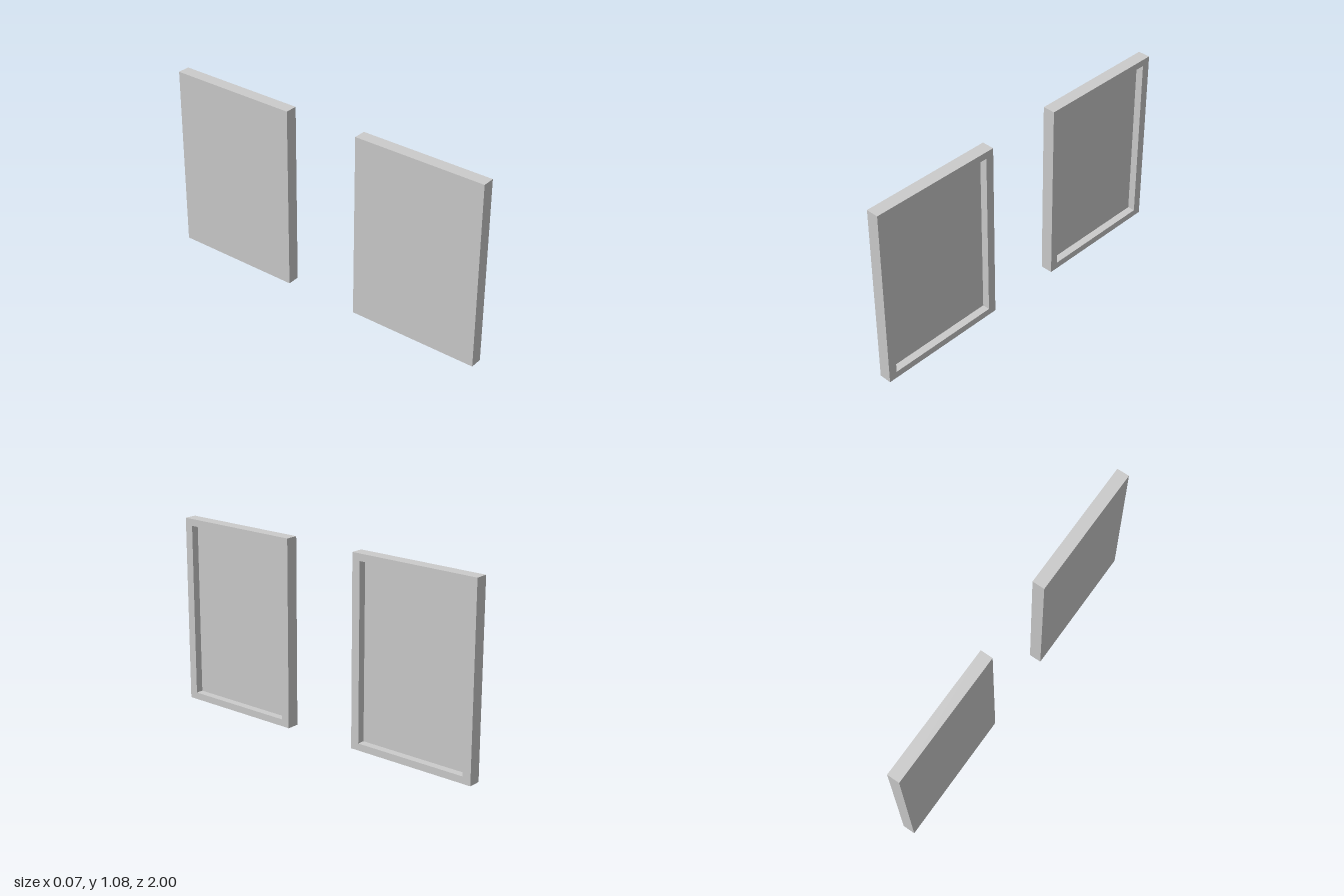
import * as THREE from 'three';

const HEIGHT = 1.08, WIDTH = 0.775, HALF_DEPTH = 0.036, CENTRE_Z = 0.6125;
const RECESS = 0.044, INSET_Z = 0.049, INSET_Y = 0.04;

// Rectangular ring at depth x, counter-clockwise seen from +x
function ring(x, w, h) {
  return [[1, -1], [-1, -1], [-1, 1], [1, 1]].map(([z, y]) => [x, y * h / 2, z * w / 2]);
}

// Solid slab with a recessed face on +x, skinned over successive rings
function trayGeometry() {
  const innerW = WIDTH - 2 * INSET_Z, innerH = HEIGHT - 2 * INSET_Y;
  const rings = [
    ring(-HALF_DEPTH, WIDTH, HEIGHT),            // back edge
    ring(HALF_DEPTH, WIDTH, HEIGHT),             // outer rim
    ring(HALF_DEPTH, innerW, innerH),            // inner rim
    ring(HALF_DEPTH - RECESS, innerW, innerH),   // recess floor
  ];
  const positions = [];
  const quad = (a, b, c, d) => positions.push(...a, ...b, ...c, ...a, ...c, ...d);
  for (let i = 0; i < rings.length - 1; i++) {
    for (let j = 0; j < 4; j++) {
      const k = (j + 1) % 4;
      quad(rings[i][j], rings[i][k], rings[i + 1][k], rings[i + 1][j]);
    }
  }
  quad(...rings[rings.length - 1]);
  quad(...[...rings[0]].reverse());
  const geometry = new THREE.BufferGeometry();
  geometry.setAttribute('position', new THREE.Float32BufferAttribute(positions, 3));
  geometry.computeVertexNormals();
  return geometry;
}

export function createModel() {
  const model = new THREE.Group();
  model.name = 'framedPanelPair';
  const material = new THREE.MeshStandardMaterial({ color: 0xcccccc });
  const geometry = trayGeometry();

  // Two matching panels, spaced apart along z
  for (const [name, side] of [['frontPanel', 1], ['backPanel', -1]]) {
    const panel = new THREE.Mesh(geometry, material);
    panel.name = name;
    panel.position.set(0, HEIGHT / 2, side * CENTRE_Z);
    model.add(panel);
  }
  return model;
}
